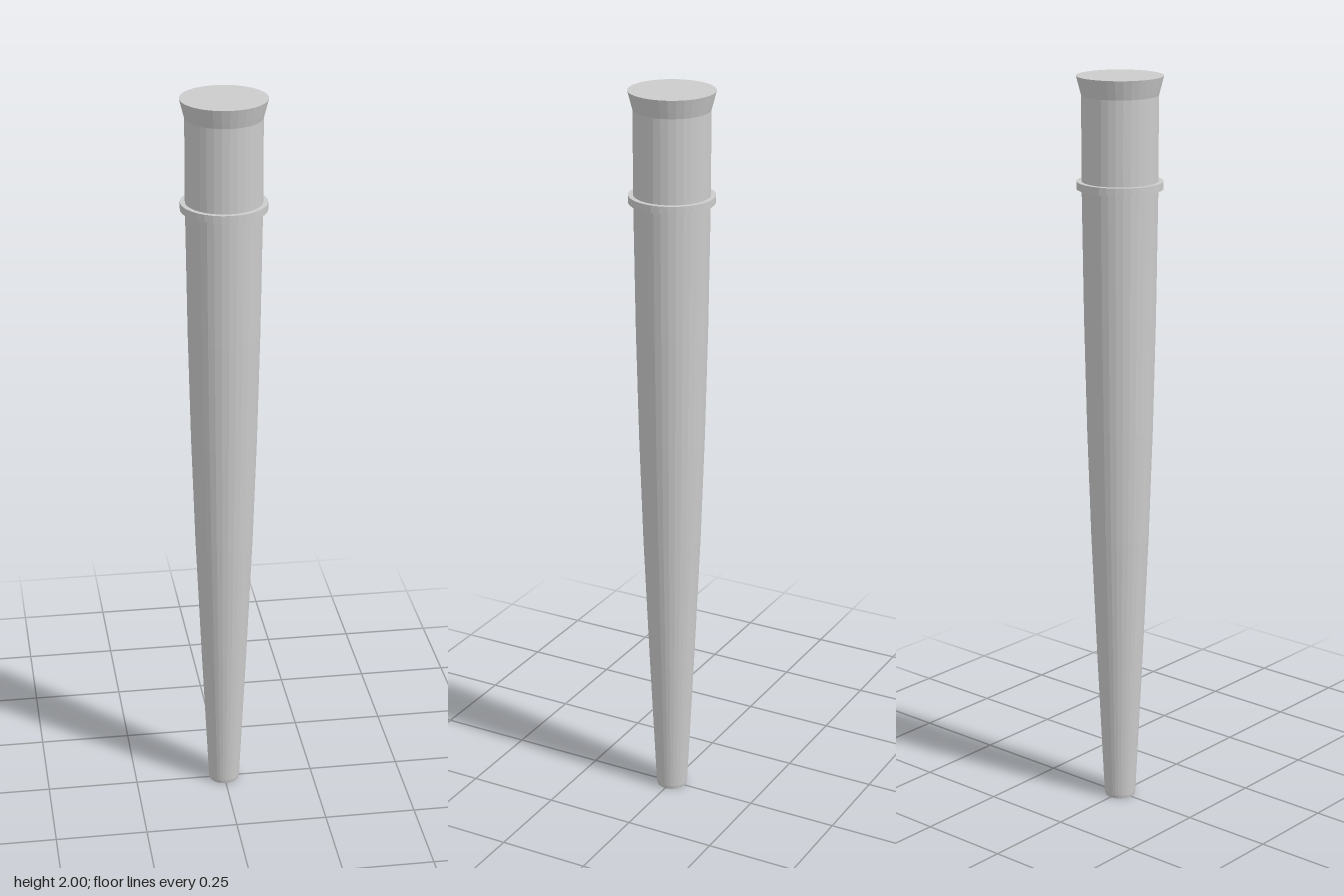
import * as THREE from 'three';

const SIDES = 32;

// Faceted part turned around the y axis from [radius, height] points, bottom to top
function turned(name, profile) {
  const points = profile.map(([r, y]) => new THREE.Vector2(r, y));
  const material = new THREE.MeshStandardMaterial({ color: 0xcccccc, flatShading: true });
  const mesh = new THREE.Mesh(new THREE.LatheGeometry(points, SIDES), material);
  mesh.name = name;
  return mesh;
}

export function createModel() {
  const group = new THREE.Group();
  group.name = 'taperedLeg';

  // Gently swelling shaft, closed at the foot
  group.add(turned('shaft', [
    [0, 0], [0.041, 0], [0.043, 0.01], [0.062, 0.4], [0.078, 0.76],
    [0.088, 1.06], [0.095, 1.36], [0.1, 1.72],
  ]));

  // Straight neck above the ring
  group.add(turned('neck', [[0.1, 1.72], [0.1, 1.95]]));

  // Flared top, closed by a flat cap
  group.add(turned('flaredTop', [
    [0.1, 1.95], [0.104, 1.965], [0.113, 2], [0, 2],
  ]));

  // Raised ring around the neck
  group.add(turned('ring', [
    [0.098, 1.708], [0.113, 1.708], [0.113, 1.728], [0.098, 1.728],
  ]));

  return group;
}
